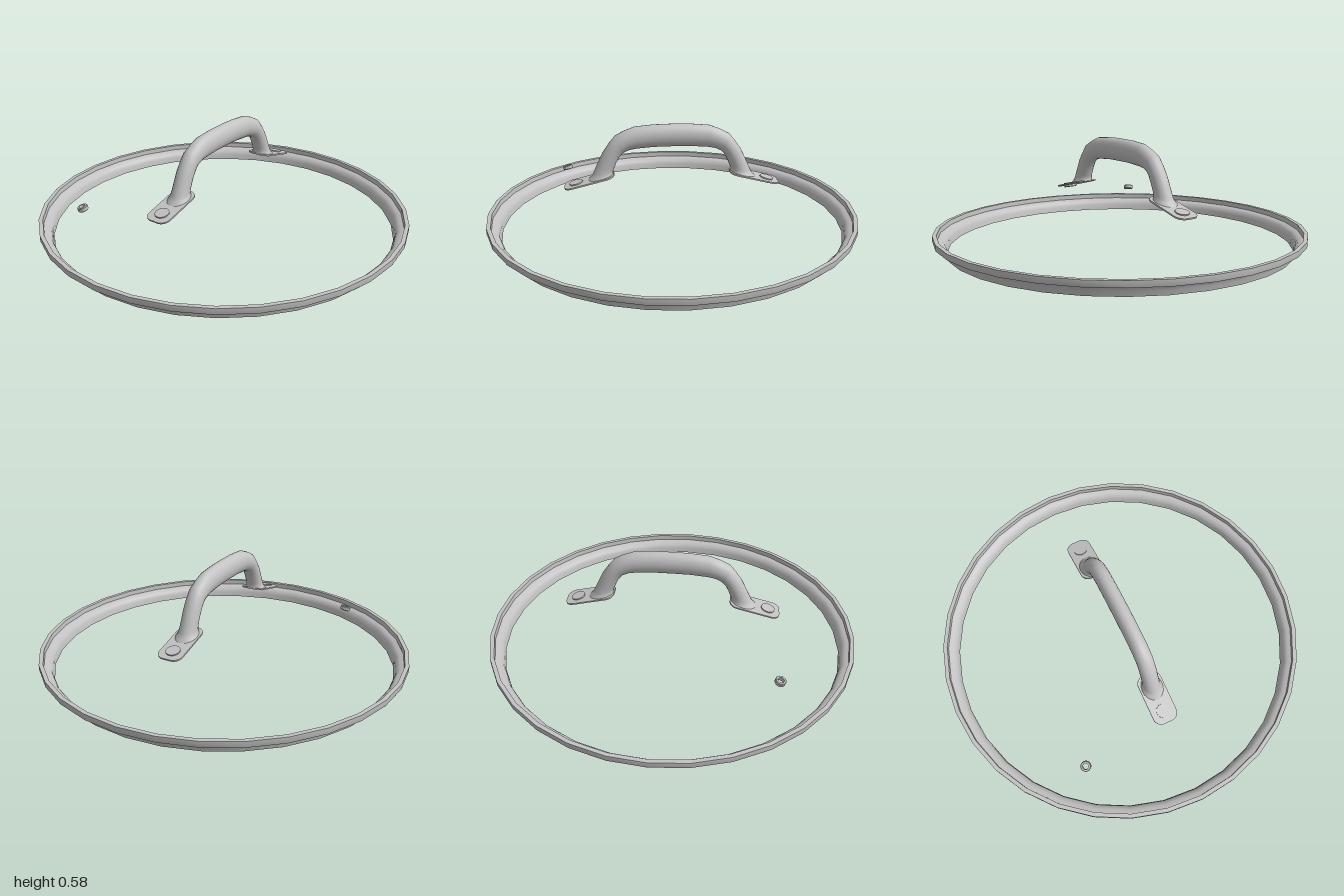
import * as THREE from 'three';
import { toCreasedNormals } from 'three/addons/utils/BufferGeometryUtils.js';

const steel = new THREE.MeshStandardMaterial({ color: 0xc2c2c2 });
steel.name = 'steel';

function part(name, geometry, parent) {
  const mesh = new THREE.Mesh(geometry, steel);
  mesh.name = name;
  parent.add(mesh);
  return mesh;
}

// closed profile of [radius, y] turned around the y axis, counter-clockwise
function turned(profile, segments, crease) {
  const points = [...profile, profile[0]].map(([r, y]) => new THREE.Vector2(r, y));
  return toCreasedNormals(new THREE.LatheGeometry(points, segments), crease);
}

// handle grip: oval rings spanned between the outer and inner outline
function gripGeometry() {
  // outer x, y, inner x, y, half width
  const half = [
    [0, 0.578, 0, 0.455, 0.045],
    [0.1, 0.576, 0.1, 0.454, 0.045],
    [0.2, 0.567, 0.19, 0.447, 0.045],
    [0.255, 0.546, 0.23, 0.44, 0.045],
    [0.305, 0.52, 0.262, 0.425, 0.045],
    [0.34, 0.477, 0.283, 0.402, 0.045],
    [0.372, 0.43, 0.3, 0.37, 0.045],
    [0.405, 0.36, 0.314, 0.335, 0.045],
    [0.425, 0.315, 0.318, 0.322, 0.047],
    [0.436, 0.295, 0.318, 0.313, 0.052],
    [0.458, 0.272, 0.316, 0.305, 0.06],
  ];
  const mirrored = half.slice(1).reverse().map(([ox, oy, ix, iy, w]) => [-ox, oy, -ix, iy, w]);
  const rings = [...mirrored, ...half];
  const sides = 20, positions = [], index = [];
  rings.forEach(([ox, oy, ix, iy, w], i) => {
    for (let j = 0; j < sides; j++) {
      const a = (j / sides) * Math.PI * 2, c = Math.cos(a) / 2;
      positions.push((ox + ix) / 2 + (ox - ix) * c, (oy + iy) / 2 + (oy - iy) * c, w * Math.sin(a));
      if (i === rings.length - 1) continue;
      const k = (j + 1) % sides, p = i * sides, q = p + sides;
      index.push(p + j, p + k, q + j, p + k, q + k, q + j);
    }
  });
  const geometry = new THREE.BufferGeometry();
  geometry.setAttribute('position', new THREE.Float32BufferAttribute(positions, 3));
  geometry.setIndex(index);
  geometry.computeVertexNormals();
  return geometry;
}

// flat mounting plate with rounded corners
function plateGeometry(length, width, radius, thickness) {
  const x = length / 2 - radius, y = width / 2 - radius;
  const shape = new THREE.Shape();
  shape.absarc(x, y, radius, 0, Math.PI / 2);
  shape.absarc(-x, y, radius, Math.PI / 2, Math.PI);
  shape.absarc(-x, -y, radius, Math.PI, Math.PI * 1.5);
  shape.absarc(x, -y, radius, Math.PI * 1.5, Math.PI * 2);
  const geometry = new THREE.ExtrudeGeometry(shape, { depth: thickness, bevelEnabled: false, curveSegments: 6 });
  return toCreasedNormals(geometry.rotateX(-Math.PI / 2), 0.6);
}

export function createModel() {
  const lid = new THREE.Group();
  lid.name = 'lid';

  // rim band with an upright lip and a stepped-in skirt
  part('rim', turned([
    [0.925, 0], [0.938, 0.004], [0.943, 0.03], [0.95, 0.047], [0.965, 0.057], [0.998, 0.062],
    [1, 0.068], [1, 0.095], [0.978, 0.095], [0.976, 0.068], [0.955, 0.062], [0.938, 0.05], [0.93, 0.03],
  ], 32, 0.6), lid);

  const handle = new THREE.Group();
  handle.name = 'handle';
  lid.add(handle);
  part('grip', gripGeometry(), handle);

  // a sloping plate and rivet at each end
  for (const [side, turn] of [['left', 0], ['right', Math.PI]]) {
    const end = new THREE.Group();
    end.name = side + 'Mount';
    end.rotation.y = turn;
    handle.add(end);
    const mount = new THREE.Group();
    mount.name = side + 'Foot';
    mount.position.set(0.446, 0.27, 0);
    mount.rotation.z = -0.245;
    end.add(mount);
    part(side + 'Plate', plateGeometry(0.275, 0.134, 0.045, 0.008), mount);
    const rivet = part(side + 'Rivet', new THREE.CylinderGeometry(0.037, 0.037, 0.024, 24), mount);
    rivet.position.set(0.072, 0.002, 0);
  }

  // steam vent eyelet, leaning outward
  const vent = part('steamVent', turned([
    [0.016, -0.012], [0.025, -0.012], [0.028, -0.008], [0.028, 0.008], [0.025, 0.012], [0.016, 0.012],
  ], 20, 0.6), lid);
  vent.position.set(-0.59, 0.18, -0.485);
  vent.quaternion.setFromUnitVectors(
    new THREE.Vector3(0, 1, 0), new THREE.Vector3(-0.24, 1, -0.2).normalize());

  return lid;
}
